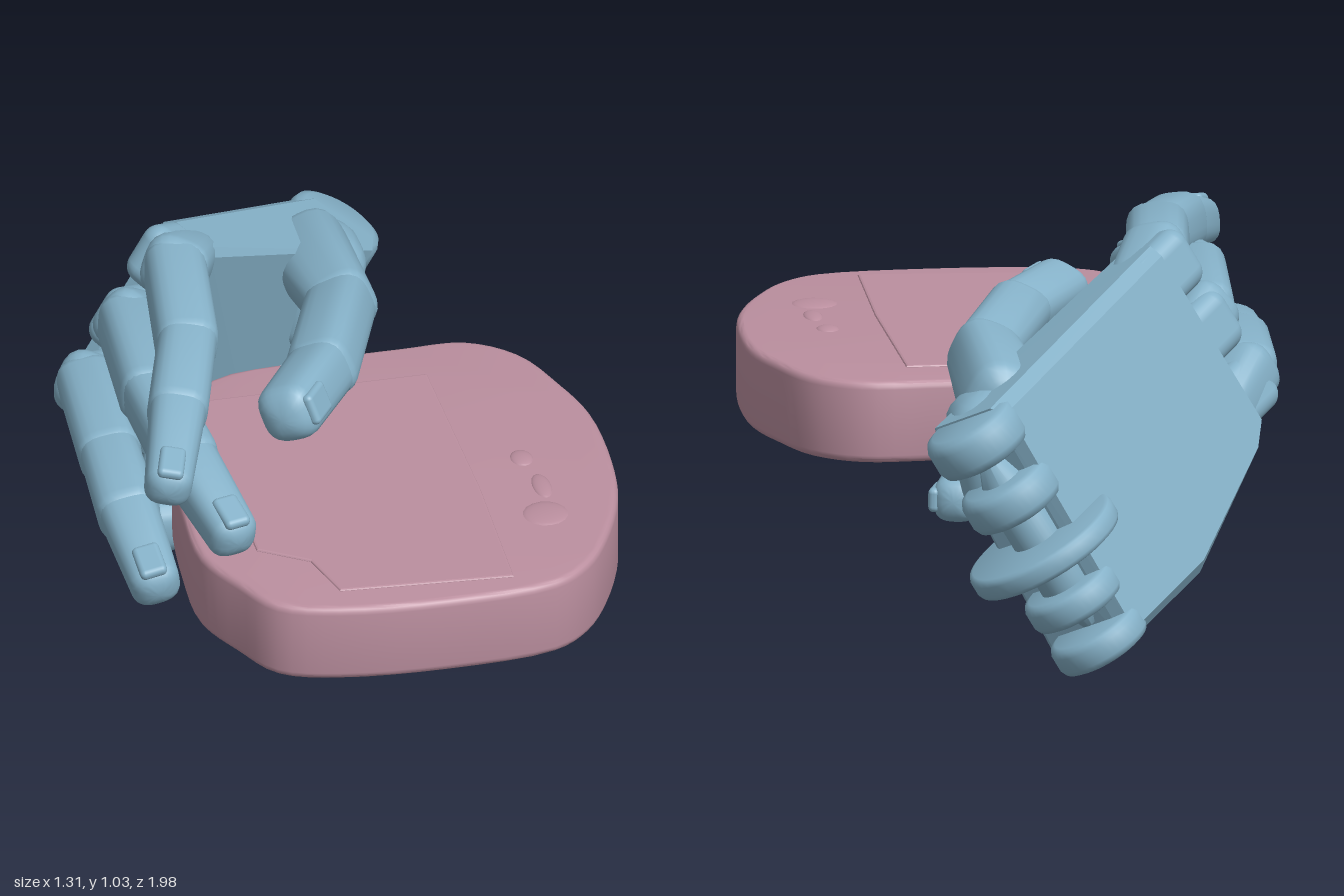
import * as THREE from 'three';
import { toCreasedNormals } from 'three/addons/utils/BufferGeometryUtils.js';
import { ConvexGeometry } from 'three/addons/geometries/ConvexGeometry.js';
import { RoundedBoxGeometry } from 'three/addons/geometries/RoundedBoxGeometry.js';

const V = (x, y, z) => new THREE.Vector3(x, y, z);

export function createModel() {
  const model = new THREE.Group();
  const blue = new THREE.MeshStandardMaterial({ color: 0x86b2c9 });
  const pink = new THREE.MeshStandardMaterial({ color: 0xbb8f9f });

  const add = (parent, name, geometry, material) => {
    const mesh = new THREE.Mesh(geometry, material);
    mesh.name = name;
    parent.add(mesh);
    return mesh;
  };

  // Matrix with y along dir and z leaning toward ref
  const aim = (dir, ref, pos) => {
    const y = dir.clone().normalize();
    const z = ref.clone().addScaledVector(y, -ref.dot(y)).normalize();
    return new THREE.Matrix4().makeBasis(y.clone().cross(z), y, z).setPosition(pos);
  };

  // Rounded, slightly square finger segment from p to q
  const segment = (parent, name, p, q, r1, r2, ref) => {
    const dir = q.clone().sub(p), len = dir.length(), profile = [];
    for (let i = 0; i <= 6; i++) {
      const t = (i / 6) * Math.PI / 2;
      profile.push(new THREE.Vector2(r1 * Math.sin(t), -0.75 * r1 * Math.cos(t)));
    }
    for (let i = 0; i <= 6; i++) {
      const t = (i / 6) * Math.PI / 2;
      profile.push(new THREE.Vector2(r2 * Math.cos(t), len + 0.75 * r2 * Math.sin(t)));
    }
    const geo = new THREE.LatheGeometry(profile, 28);
    const pos = geo.attributes.position;
    for (let i = 0; i < pos.count; i++) {
      const a = Math.atan2(pos.getX(i), pos.getZ(i));
      const k = (Math.abs(Math.cos(a)) ** 3 + Math.abs(Math.sin(a)) ** 3) ** (-1 / 3);
      pos.setX(i, pos.getX(i) * k);
      pos.setZ(i, pos.getZ(i) * k);
    }
    geo.applyMatrix4(aim(dir, ref, p));
    return add(parent, name, toCreasedNormals(geo, 0.7), blue);
  };

  // Handheld slab: rounded outline with softly cut corners, bevelled rims
  const device = new THREE.Group();
  device.name = 'device';
  model.add(device);
  const outline = [[-0.24, -0.145], [0.0, -0.18], [0.25, -0.185], [0.41, -0.18], [0.52, -0.1], [0.59, 0.06],
    [0.63, 0.2], [0.635, 0.42], [0.61, 0.6], [0.54, 0.78], [0.47, 0.89], [0.38, 0.955], [0.1, 0.98],
    [-0.17, 0.96], [-0.31, 0.91], [-0.38, 0.79], [-0.44, 0.65], [-0.44, 0.45], [-0.41, 0.2], [-0.34, 0.0]];
  const curve = new THREE.CatmullRomCurve3(outline.map(([x, z]) => V(x, z, 0)), true);
  const slab = new THREE.ExtrudeGeometry(
    new THREE.Shape(curve.getPoints(80).slice(0, -1).map(p => new THREE.Vector2(p.x, p.y))),
    { depth: 0.17, bevelThickness: 0.02, bevelSize: 0.018, bevelSegments: 4 });
  slab.rotateX(Math.PI / 2).translate(0, 0.607, 0);
  add(device, 'deviceBody', toCreasedNormals(slab, 0.6), pink);

  // Screen panel and worn buttons, barely proud of the top
  const rect = new THREE.Shape([[-0.31, -0.05], [0.28, -0.05], [0.29, 0.5], [0.28, 0.92],
    [-0.15, 0.89], [-0.19, 0.74], [-0.31, 0.66]].map(([x, z]) => new THREE.Vector2(x, z)));
  const screen = new THREE.ExtrudeGeometry(rect,
    { depth: 0.01, bevelThickness: 0.004, bevelSize: 0.006, bevelSegments: 2 });
  screen.rotateX(Math.PI / 2).translate(0, 0.628, 0);
  add(device, 'screenPanel', screen, pink);
  for (const [x, z, sx, sz] of [[0.43, 0.38, 0.03, 0.04], [0.45, 0.52, 0.025, 0.06], [0.43, 0.65, 0.06, 0.06]]) {
    const button = add(device, 'button', new THREE.SphereGeometry(1, 16, 10), pink);
    button.scale.set(sx, 0.01, sz);
    button.position.set(x, 0.624, z);
  }

  // Hand frame: x toward the index side, y toward the fingers, z out of the palm
  const along = V(-0.64, 0.39, 0.66).normalize();
  const hand = new THREE.Group();
  hand.name = 'hand';
  hand.applyMatrix4(aim(along, V(0.577, -0.324, 0.751), V(0.01, 0.4, -0.87)));
  model.add(hand);

  // Palm: convex block, thicker at the wrist, with a bevelled back
  const palmOutline = [[0.34, 0.05, 0.23], [0.345, 0.78, 0.16], [-0.2, 0.78, 0.15],
    [-0.25, 0.72, 0.15], [-0.37, 0.36, 0.22], [-0.37, 0.03, 0.265]];
  const palmPoints = [];
  for (const [u, v, w] of palmOutline) {
    const tip = v < 0.1 ? v - 0.04 : v;
    palmPoints.push(V(u * 0.92, 0.42 + (v - 0.42) * 0.96, 0), V(u, v, 0.035),
      V(u, tip, w - 0.02), V(u * 0.94, 0.42 + (tip - 0.42) * 0.97, w));
  }
  add(hand, 'palm', new ConvexGeometry(palmPoints), blue);

  // Knuckle plates continuing the back of the hand, with slots between
  for (const [u, v, w] of [[0.262, 0.78, 0.075], [0.07, 0.79, 0.08], [-0.122, 0.8, 0.095]]) {
    const plate = add(hand, 'knucklePlate', new RoundedBoxGeometry(0.165, 0.22, 0.14, 4, 0.045), blue);
    plate.position.set(u, v, w);
  }

  // Wrist hinge: round-edged knobs, large disc and axle
  const hinge = (name, u, r, h, w = 0.105) => {
    const e = h * 0.25;
    const profile = [[0, -h / 2], [r - e, -h / 2], [r - e * 0.3, -h / 2 + e * 0.3], [r, -h / 2 + e],
      [r, h / 2 - e], [r - e * 0.3, h / 2 - e * 0.3], [r - e, h / 2], [0, h / 2]];
    const geo = new THREE.LatheGeometry(profile.map(p => new THREE.Vector2(...p)), 40);
    const m = add(hand, name, toCreasedNormals(geo, 0.9), blue);
    m.rotation.z = Math.PI / 2;
    m.position.set(u, 0.02, w);
  };
  for (const [u, h] of [[0.28, 0.11], [0.11, 0.1], [-0.2, 0.08], [-0.33, 0.08]]) hinge('wristKnob', u, 0.125, h);
  hinge('wristDisc', -0.05, 0.205, 0.06, 0.1);
  hinge('wristAxle', -0.02, 0.065, 0.62);

  // Digits: joint positions, radii and the direction the nail faces
  const digits = [
    ['indexFinger', [[-0.275, 0.893, -0.318], [-0.33, 0.94, -0.2], [-0.37, 0.915, 0.11], [-0.45, 0.88, 0.36], [-0.53, 0.82, 0.605]],
      [0.075, 0.083, 0.079, 0.076, 0.06], [0, 1, 0.5]],
    ['middleFinger', [[-0.38, 0.72, -0.31], [-0.45, 0.79, -0.21], [-0.47, 0.8, 0.14], [-0.44, 0.765, 0.42], [-0.38, 0.69, 0.665]],
      [0.075, 0.08, 0.079, 0.078, 0.062], [0.1, 1, 0.5]],
    ['ringFinger', [[-0.487, 0.553, -0.3], [-0.555, 0.63, -0.2], [-0.57, 0.62, 0.12], [-0.575, 0.59, 0.35], [-0.56, 0.52, 0.58]],
      [0.075, 0.08, 0.08, 0.08, 0.064], [-0.2, 1, 0.5]],
    ['littleFinger', [[-0.215, 0.19, -0.55], [-0.425, 0.345, 0.02], [0.08, 0.345, 0.025], [0.195, 0.35, -0.33]],
      [0.095, 0.077, 0.077, 0.057], [1, 0, 0.3]],
    ['thumb', [[0.11, 0.67, -0.62], [0.12, 0.715, -0.3], [0.0, 0.735, 0.02], [-0.13, 0.745, 0.22]],
      [0.105, 0.087, 0.083, 0.076], [0.7, 0.4, 0.6]],
  ];
  for (const [name, joints, radii, nailDir] of digits) {
    const digit = new THREE.Group();
    digit.name = name;
    model.add(digit);
    const pts = joints.map(j => V(...j)), ref = V(...nailDir), last = pts.length - 1;
    // Each segment starts a little slimmer, leaving a step at the joint
    for (let i = 0; i < last; i++) {
      segment(digit, name + 'Segment', pts[i], pts[i + 1], radii[i] * (i ? 0.94 : 1), radii[i + 1], ref);
    }
    // Nail set flush into the fingertip
    const dir = pts[last].clone().sub(pts[last - 1]);
    const nail = new RoundedBoxGeometry(radii[last] * 1.1, 0.1, 0.03, 3, 0.014);
    nail.translate(0, -0.02, radii[last] * 0.93);
    nail.applyMatrix4(aim(dir, ref, pts[last]));
    add(digit, name + 'Nail', nail, blue);
  }

  // Thumb mound where the thumb leaves the palm
  segment(model, 'thumbMound', V(0.12, 0.46, -0.66), V(0.14, 0.63, -0.66), 0.1, 0.12, V(0, 0, 1));

  return model;
}
